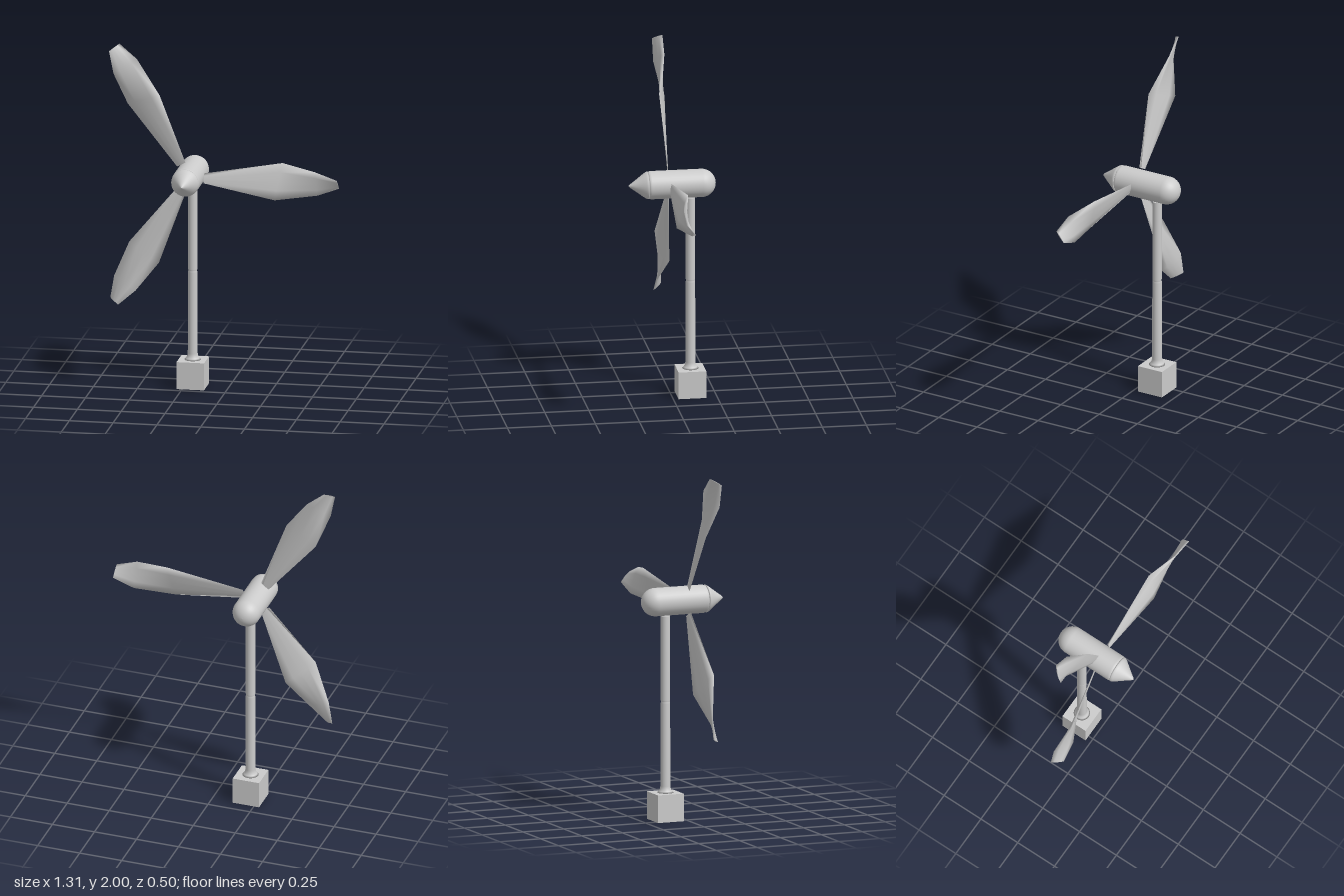
import * as THREE from 'three';

const HUB = new THREE.Vector3(-0.203, 1.245, 0.015);
const TOWER_Z = -0.108;
const grey = new THREE.MeshStandardMaterial({ color: 0xcccccc });
const greyThin = new THREE.MeshStandardMaterial({ color: 0xcccccc, side: THREE.DoubleSide });

function part(name, geometry, material = grey) {
  const mesh = new THREE.Mesh(geometry, material);
  mesh.name = name;
  return mesh;
}

const lathe = (pts) => new THREE.LatheGeometry(pts.map(([r, y]) => new THREE.Vector2(r, y)), 32);

// Twisted blade along +x: each station has an upper and a lower edge point plus a thickness
function bladeGeometry() {
  const stations = [
    { a: [0.086, 0.028, 0.011], b: [0.086, -0.028, 0.019], t: 0.003 },
    { a: [0.53, 0.103, -0.015], b: [0.495, -0.1, 0.045], t: 0.008 },
    { a: [0.725, 0.073, 0.039], b: [0.73, -0.075, -0.006], t: 0.006 },
    { a: [0.849, 0.03, 0.042], b: [0.853, -0.03, -0.01], t: 0.004 },
  ];
  // Lens cross-section: [position from upper to lower edge, share of thickness]
  const lens = [[0, 0], [0.25, 0.75], [0.5, 1], [0.75, 0.75], [1, 0], [0.75, -0.75], [0.5, -1], [0.25, -0.75]];
  const n = lens.length;
  const pos = [], index = [];
  for (const { a, b, t } of stations) {
    const A = new THREE.Vector3(...a), B = new THREE.Vector3(...b);
    A.z -= HUB.z;
    B.z -= HUB.z;
    const out = new THREE.Vector3(0, B.z - A.z, A.y - B.y).normalize();
    for (const [u, s] of lens) {
      pos.push(...A.clone().lerp(B, u).addScaledVector(out, s * t).toArray());
    }
  }
  const last = stations.length - 1;
  for (let i = 0; i < last; i++) {
    for (let j = 0; j < n; j++) {
      const p = i * n + j, q = i * n + (j + 1) % n;
      index.push(p, q, p + n, q, q + n, p + n);
    }
  }
  // Root and tip caps
  for (let j = 1; j < n - 1; j++) {
    index.push(0, j + 1, j);
    index.push(last * n, last * n + j, last * n + j + 1);
  }
  const g = new THREE.BufferGeometry();
  g.setAttribute('position', new THREE.Float32BufferAttribute(pos, 3));
  g.setIndex(index);
  g.computeVertexNormals();
  return g;
}

export function createModel() {
  const model = new THREE.Group();
  model.name = 'windTurbine';

  // Square foundation
  const base = part('base', new THREE.BoxGeometry(0.157, 0.157, 0.157));
  base.position.set(HUB.x, 0.0785, TOWER_Z);
  model.add(base);

  // Tower with a flared foot and a fine joint in the middle
  const tower = part('tower', lathe([
    [0, 0.157], [0.046, 0.157], [0.038, 0.166], [0.031, 0.178], [0.028, 0.195],
    [0.027, 0.665], [0.025, 0.672], [0.025, 0.678], [0.027, 0.685],
    [0.027, 1.163], [0.027, 1.164], [0, 1.164],
  ]));
  tower.position.set(HUB.x, 0, TOWER_Z);
  model.add(tower);

  // Nacelle with a domed back, running along z
  const R = 0.08;
  const profile = [];
  for (let i = 0; i <= 10; i++) {
    const a = (i / 10) * Math.PI / 2;
    profile.push([R * Math.sin(a), -0.171 - R * Math.cos(a)]);
  }
  profile.push([R, 0.118], [0.078, 0.129], [0.074, 0.132], [0, 0.132]);
  const nacelle = part('nacelle', lathe(profile));

  // Pointed spinner
  const spinner = part('spinner', lathe([
    [0, 0.13], [0.076, 0.132], [0.078, 0.138], [0.073, 0.148], [0.061, 0.165],
    [0.03, 0.207], [0.01, 0.235], [0, 0.245],
  ]));
  for (const m of [nacelle, spinner]) {
    m.rotation.x = Math.PI / 2;
    m.position.set(HUB.x, HUB.y, 0);
    model.add(m);
  }

  // Three blades around the hub
  const rotor = new THREE.Group();
  rotor.name = 'rotor';
  rotor.position.copy(HUB);
  const geometry = bladeGeometry();
  for (let i = 0; i < 3; i++) {
    const blade = part('blade' + (i + 1), geometry, greyThin);
    blade.rotation.z = (i * 2 * Math.PI) / 3;
    rotor.add(blade);
  }
  model.add(rotor);
  return model;
}
